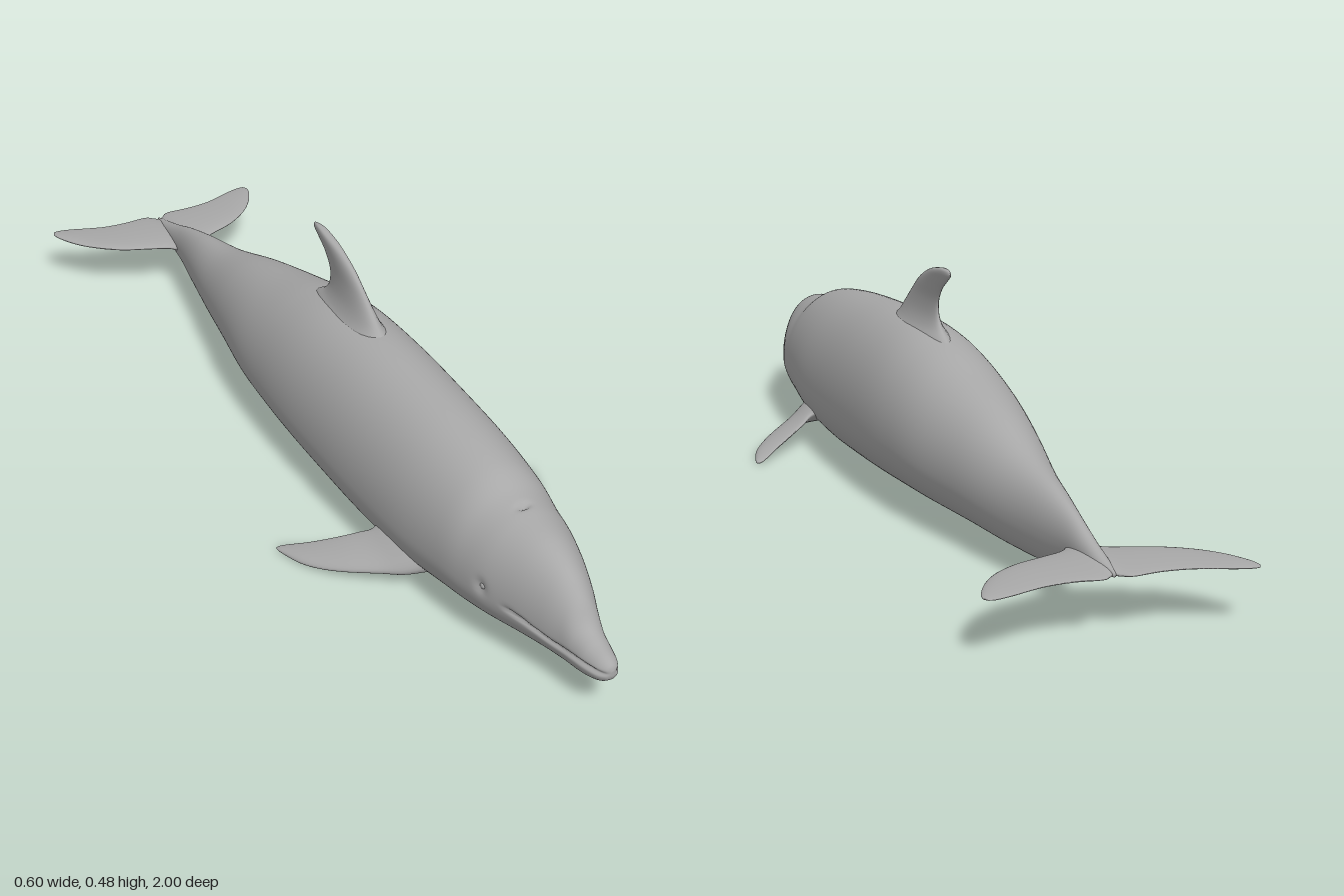
import * as THREE from 'three';

const skin = new THREE.MeshStandardMaterial({ color: 0xa8a8a8 });
skin.name = 'greySkin';

// Catmull-Rom blend of every column in a table of stations, t from 0 to 1
function sample(rows, t) {
  const f = t * (rows.length - 1), i = Math.min(Math.floor(f), rows.length - 2), u = f - i;
  const a = rows[Math.max(i - 1, 0)], b = rows[i], c = rows[i + 1], d = rows[Math.min(i + 2, rows.length - 1)];
  return b.map((_, k) => b[k] + 0.5 * u * (c[k] - a[k]
    + u * (2 * a[k] - 5 * b[k] + 4 * c[k] - d[k] + u * (3 * (b[k] - c[k]) + d[k] - a[k]))));
}

// Smooth closed skin over a list of rings, with both ends fanned to a centre
function loft(name, rings) {
  const n = rings[0].length, m = rings.length, pos = [], idx = [];
  rings.forEach(r => r.forEach(p => pos.push(p.x, p.y, p.z)));
  for (let i = 0; i < m - 1; i++) for (let j = 0; j < n; j++) {
    const a = i * n + j, b = i * n + (j + 1) % n;
    idx.push(a, b, a + n, b, b + n, a + n);
  }
  [0, m - 1].forEach((e, k) => {
    const c = new THREE.Vector3();
    rings[e].forEach(p => c.addScaledVector(p, 1 / n));
    pos.push(c.x, c.y, c.z);
    for (let j = 0; j < n; j++) {
      const a = e * n + j, b = e * n + (j + 1) % n;
      if (k) idx.push(a, b, m * n + 1); else idx.push(b, a, m * n);
    }
  });
  // Turn all faces outward if the enclosed volume comes out negative
  const v = i => new THREE.Vector3().fromArray(pos, i * 3);
  let volume = 0;
  for (let i = 0; i < idx.length; i += 3) volume += v(idx[i]).dot(v(idx[i + 1]).cross(v(idx[i + 2])));
  if (volume < 0) idx.reverse();
  const g = new THREE.BufferGeometry();
  g.setAttribute('position', new THREE.Float32BufferAttribute(pos, 3));
  g.setIndex(idx);
  g.computeVertexNormals();
  const mesh = new THREE.Mesh(g, skin);
  mesh.name = name;
  return mesh;
}

// Fin from rows of [lead x, y, z, trail x, y, z, half thickness]
function fin(name, rows, up, steps = 40, n = 32) {
  const rings = [];
  for (let i = 0; i <= steps; i++) {
    const r = sample(rows, i / steps), ring = [];
    const lead = new THREE.Vector3(r[0], r[1], r[2]), trail = new THREE.Vector3(r[3], r[4], r[5]);
    for (let j = 0; j < n; j++) {
      const a = j / n * Math.PI * 2, s = (1 - Math.cos(a)) / 2;
      ring.push(lead.clone().lerp(trail, s).addScaledVector(up, Math.max(r[6], 0) * Math.sin(a) * (1.2 - 0.5 * s)));
    }
    rings.push(ring);
  }
  return loft(name, rings);
}

// Body stations: z, half width, top y, bottom y, height fraction of the widest point
const BODY = [
  [1.0, 0.004, 0.108, 0.096, 0.5], [0.995, 0.015, 0.118, 0.086, 0.45], [0.98, 0.025, 0.127, 0.076, 0.45],
  [0.95, 0.033, 0.138, 0.067, 0.45], [0.92, 0.038, 0.156, 0.062, 0.42], [0.89, 0.045, 0.195, 0.059, 0.38],
  [0.85, 0.06, 0.23, 0.057, 0.38], [0.79, 0.082, 0.256, 0.053, 0.38], [0.72, 0.105, 0.27, 0.046, 0.38],
  [0.66, 0.117, 0.282, 0.038, 0.38], [0.59, 0.127, 0.309, 0.028, 0.38], [0.46, 0.141, 0.33, 0.014, 0.37],
  [0.3, 0.147, 0.345, 0.009, 0.37], [0.15, 0.149, 0.354, 0.014, 0.37], [0, 0.148, 0.352, 0.022, 0.37],
  [-0.12, 0.142, 0.334, 0.029, 0.38], [-0.25, 0.129, 0.302, 0.035, 0.4], [-0.4, 0.1, 0.265, 0.039, 0.43],
  [-0.55, 0.069, 0.219, 0.042, 0.46], [-0.68, 0.043, 0.193, 0.051, 0.5], [-0.77, 0.027, 0.17, 0.07, 0.5],
  [-0.84, 0.02, 0.146, 0.086, 0.5], [-0.9, 0.014, 0.128, 0.1, 0.5], [-0.945, 0.003, 0.117, 0.109, 0.5],
];
const EYE = new THREE.Vector3(0.102, 0.145, 0.717);
const BLOWHOLE = new THREE.Vector3(0, 0.276, 0.69);

function createBody() {
  const rings = [], steps = 276, n = 112;
  for (let i = 0; i <= steps; i++) {
    const [z, w, top, bottom, f] = sample(BODY, i / steps), mid = bottom + (top - bottom) * f, ring = [];
    const lift = THREE.MathUtils.smoothstep(0.9 - z, 0, 0.13);
    const mouthY = 0.103 + 0.023 * lift;
    const mouth = THREE.MathUtils.smoothstep(z, 0.76, 0.79);
    for (let j = 0; j < n; j++) {
      const a = j / n * Math.PI * 2, c = Math.cos(a), s = Math.sin(a), e = s > 0 ? 1.03 : 0.86;
      const p = new THREE.Vector3(
        Math.sign(c) * Math.abs(c) ** e * w,
        mid + (s > 0 ? (top - mid) * s : -(mid - bottom) * Math.abs(s) ** 0.92), z);
      // Mouth crease, eye sockets and blowhole are pressed into the skin
      const crease = mouth * Math.min(0.007, w * 0.25) * Math.exp(-(((p.y - mouthY) / 0.0045) ** 2));
      p.x -= Math.sign(c) * Math.min(crease, Math.abs(p.x));
      const eyeDist = Math.hypot(p.y - EYE.y, p.z - EYE.z);
      p.x -= Math.sign(c) * 0.006 * Math.exp(-((eyeDist / 0.013) ** 2));
      if (s > 0) p.y -= 0.01 * Math.exp(-((p.x / 0.013) ** 2) - (((z - BLOWHOLE.z) / 0.007) ** 2));
      ring.push(p);
    }
    rings.push(ring);
  }
  return loft('body', rings);
}

export function createModel() {
  const model = new THREE.Group();
  model.name = 'dolphin';
  model.add(createBody());

  // Swept back fin: y, leading z, trailing z, half thickness
  const dorsal = [
    [0.31, 0.22, -0.14, 0.06], [0.335, 0.185, -0.115, 0.045], [0.356, 0.15, -0.08, 0.03], [0.38, 0.125, -0.062, 0.02],
    [0.41, 0.09, -0.062, 0.014], [0.44, 0.05, -0.083, 0.012], [0.46, 0.012, -0.111, 0.011],
    [0.475, -0.03, -0.132, 0.01], [0.484, -0.075, -0.128, 0.007], [0.487, -0.1, -0.112, 0.001],
  ].map(([y, a, b, h]) => [0, y, a, 0, y, b, h]);
  model.add(fin('dorsalFin', dorsal, new THREE.Vector3(1, 0, 0)));

  // Paired parts are made for the left side and mirrored
  const flipper = [
    [0.09, 0.065, 0.53, 0.09, 0.1, 0.34, 0.04], [0.135, 0.046, 0.5, 0.135, 0.076, 0.375, 0.022],
    [0.17, 0.037, 0.468, 0.165, 0.06, 0.357, 0.014], [0.22, 0.026, 0.42, 0.205, 0.042, 0.328, 0.011],
    [0.255, 0.018, 0.378, 0.24, 0.028, 0.302, 0.009], [0.28, 0.013, 0.335, 0.265, 0.018, 0.28, 0.007],
    [0.295, 0.01, 0.285, 0.285, 0.011, 0.264, 0.004], [0.298, 0.009, 0.266, 0.295, 0.009, 0.262, 0.001],
  ];
  const fluke = [
    [0, 0.112, -0.75, 0, 0.113, -0.94, 0.016], [0.012, 0.112, -0.765, 0.012, 0.113, -0.952, 0.014],
    [0.035, 0.112, -0.796, 0.03, 0.114, -0.964, 0.01], [0.08, 0.113, -0.816, 0.08, 0.115, -0.961, 0.008],
    [0.14, 0.114, -0.84, 0.13, 0.115, -0.965, 0.007], [0.19, 0.115, -0.875, 0.17, 0.115, -0.977, 0.006],
    [0.225, 0.115, -0.915, 0.205, 0.115, -0.99, 0.006], [0.25, 0.115, -0.96, 0.235, 0.115, -0.998, 0.004],
    [0.257, 0.115, -0.985, 0.25, 0.115, -0.998, 0.001],
  ];
  const up = new THREE.Vector3(0, 1, 0);
  for (const [side, sx] of [['left', 1], ['right', -1]]) {
    const mirror = rows => rows.map(r => r.map((v, k) => (k === 0 || k === 3 ? v * sx : v)));
    model.add(fin(side + 'Flipper', mirror(flipper), up), fin(side + 'Fluke', mirror(fluke), up));
    const eye = new THREE.Mesh(new THREE.SphereGeometry(0.008, 20, 14), skin);
    eye.name = side + 'Eye';
    eye.scale.set(0.6, 0.8, 1);
    eye.position.set((EYE.x - 0.004) * sx, EYE.y, EYE.z);
    model.add(eye);
  }
  return model;
}
